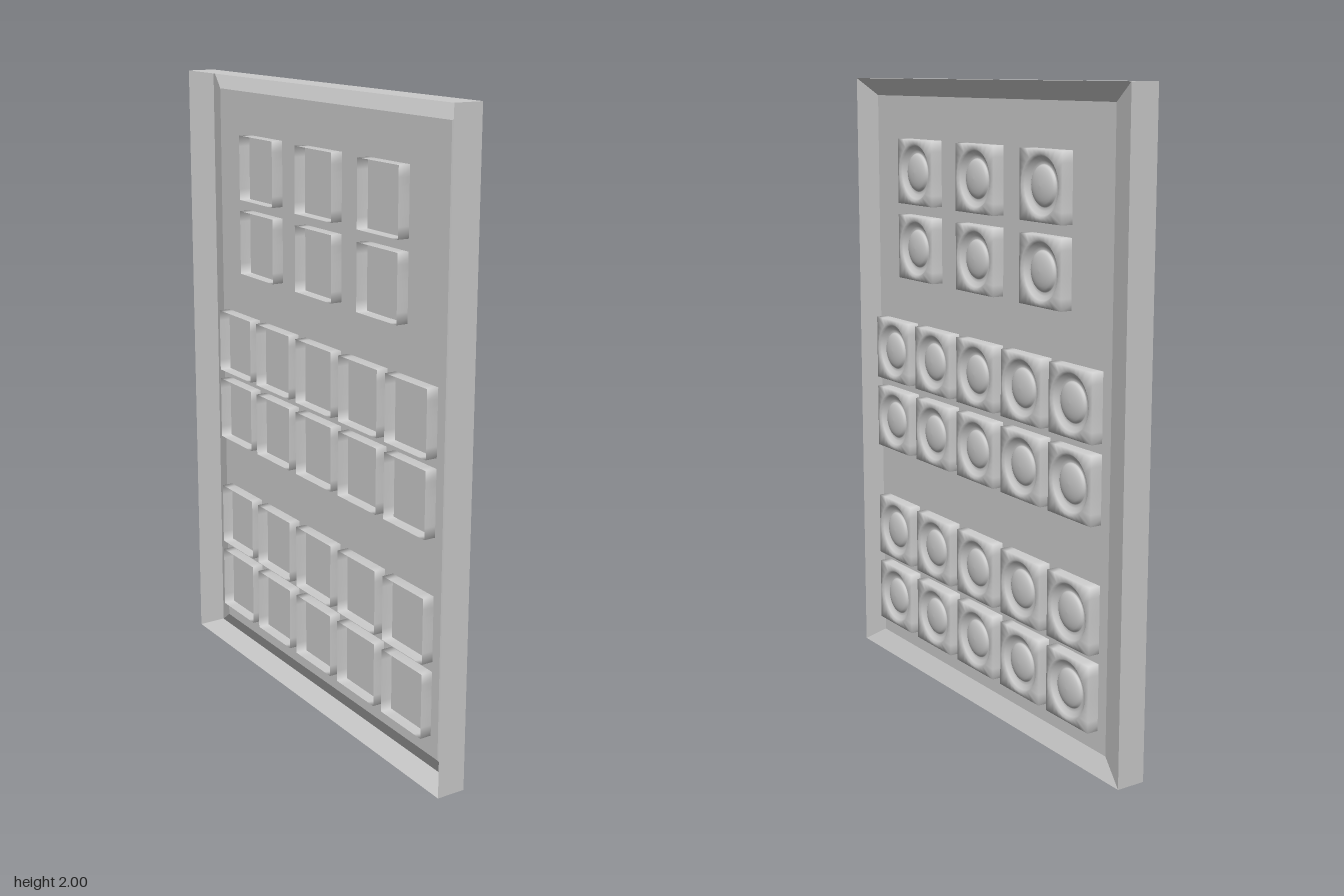
import * as THREE from 'three';

// Skin closed loops of [x, y, z] points, ordered from back to front (+x).
function loft(loops) {
  const n = loops[0].length;
  const index = [];
  for (let i = 0; i < loops.length - 1; i++) {
    for (let j = 0; j < n; j++) {
      const a = i * n + j, b = i * n + (j + 1) % n;
      index.push(a, b, a + n, b, b + n, a + n);
    }
  }
  const geo = new THREE.BufferGeometry();
  geo.setAttribute('position', new THREE.Float32BufferAttribute(loops.flat(2), 3));
  geo.setIndex(index);
  geo.computeVertexNormals();
  return geo;
}

const rectLoop = (x, y0, y1, hz) => [[x, y1, -hz], [x, y1, hz], [x, y0, hz], [x, y0, -hz]];

// Square (half-size r) or circle (radius r) with matching point counts.
function ringLoop(x, r, square) {
  const pts = [];
  for (let j = 0; j < 32; j++) {
    const a = j / 32 * Math.PI * 2, c = Math.cos(a), s = Math.sin(a);
    const k = square ? r / Math.max(Math.abs(c), Math.abs(s)) : r;
    pts.push([x, c * k, s * k]);
  }
  return pts;
}

export function createModel() {
  const group = new THREE.Group();
  const flat = new THREE.MeshStandardMaterial({ color: 0xcccccc, flatShading: true, side: THREE.DoubleSide });
  const smooth = new THREE.MeshStandardMaterial({ color: 0xcccccc, side: THREE.DoubleSide });

  const add = (name, geo, mat) => {
    const mesh = new THREE.Mesh(geo, mat);
    mesh.name = name;
    group.add(mesh);
    return mesh;
  };

  // Thin-walled frame: outer walls, then a bevel sloping in to the panel
  add('frame', loft([
    rectLoop(-0.053, 0, 2, 0.735),
    rectLoop(0.04, 0, 2, 0.735),
    rectLoop(0.013, 0.06, 1.945, 0.64),
  ]), flat);

  // Recessed backing panel
  const panel = add('panel', new THREE.PlaneGeometry(1.28, 1.885).rotateY(Math.PI / 2), flat);
  panel.position.set(0.013, 1.0025, 0);

  // Open-backed square button with a round dish and a central dome
  const half = 0.104;
  const loops = [
    ringLoop(-0.025, half, true),
    ringLoop(0.05, half, true),
    ringLoop(0.053, 0.092),
    ringLoop(0.046, 0.085),
    ringLoop(0.037, 0.072),
    ringLoop(0.036, 0.063),
  ];
  for (let i = 0; i <= 6; i++) {
    const t = i / 6 * Math.PI / 2;
    loops.push(ringLoop(0.037 + 0.016 * Math.sin(t), Math.max(0.06 * Math.cos(t), 0.0005)));
  }
  const buttonGeo = loft(loops);

  // Three banks of two rows
  const wide = [0.5, 0.25, 0, -0.25, -0.497];
  const banks = [
    { name: 'topButton', rows: [1.705, 1.46], cols: [0.347, 0, -0.345] },
    { name: 'middleButton', rows: [1.1, 0.86], cols: wide },
    { name: 'bottomButton', rows: [0.47, 0.23], cols: wide },
  ];
  for (const { name, rows, cols } of banks) {
    for (const y of rows) {
      for (const z of cols) add(name, buttonGeo, smooth).position.set(0, y, z);
    }
  }
  return group;
}
